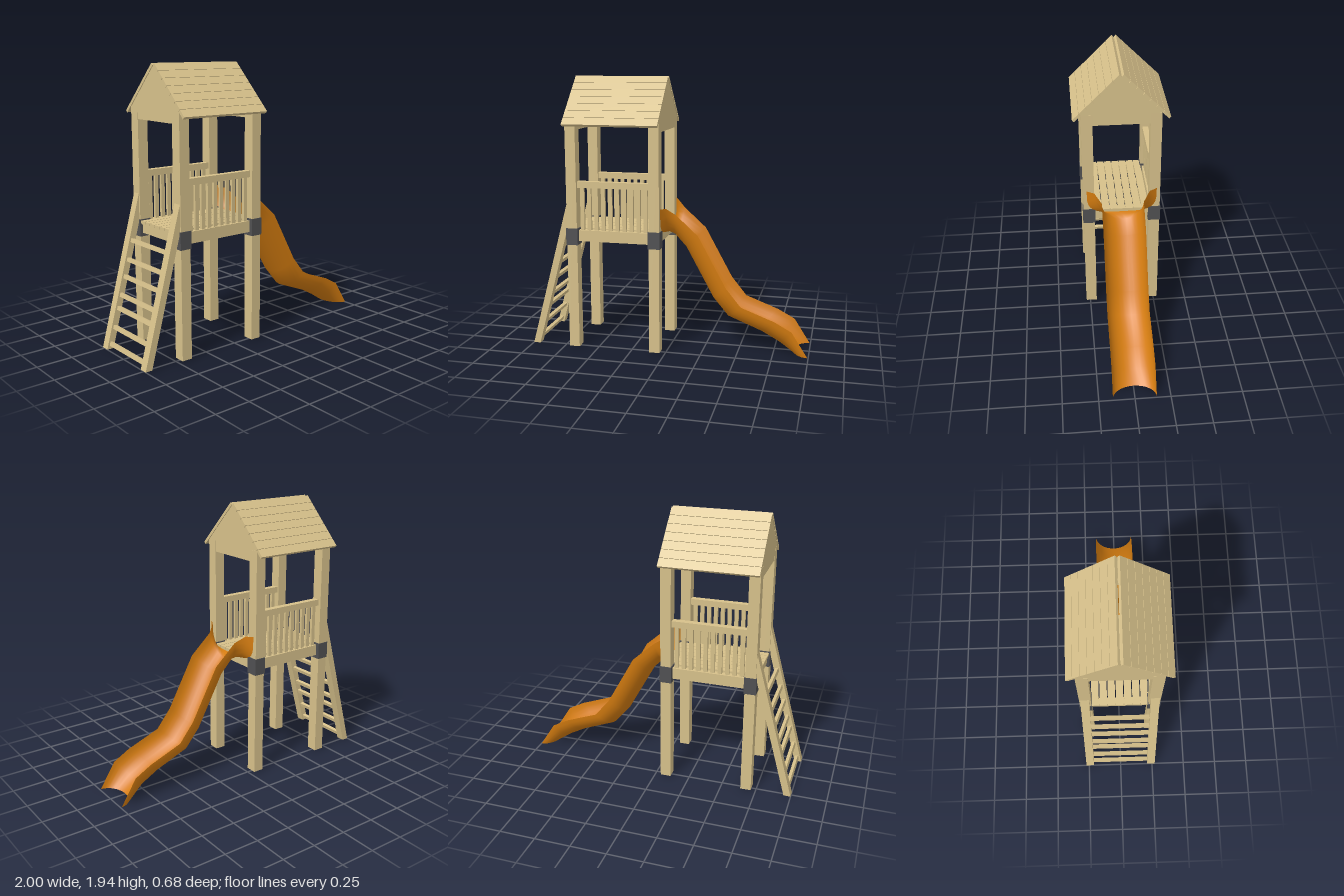
import * as THREE from 'three';

const wood = new THREE.MeshStandardMaterial({ color: 0xd6c08a });
const metal = new THREE.MeshStandardMaterial({ color: 0x505052 });
const plastic = new THREE.MeshStandardMaterial({ color: 0xd47c10, side: THREE.DoubleSide });

export function createModel() {
  const model = new THREE.Group();
  const SIDES = [-1, 1];
  const MID = -0.3775, HALF = 0.3; // tower centre in x, and post offset from it
  const POST_Z = 0.24;

  function add(name, geometry, material, x = 0, y = 0, z = 0) {
    const mesh = new THREE.Mesh(geometry, material);
    mesh.name = name;
    mesh.position.set(x, y, z);
    model.add(mesh);
    return mesh;
  }
  const box = (name, w, h, d, x, y, z, material = wood) =>
    add(name, new THREE.BoxGeometry(w, h, d), material, x, y, z);
  const polygon = (points) => new THREE.Shape(points.map(([x, y]) => new THREE.Vector2(x, y)));
  const extrude = (points, depth) =>
    new THREE.ExtrudeGeometry(polygon(points), { depth, bevelEnabled: false });

  // Posts with dark corner brackets
  for (const sx of SIDES) for (const sz of SIDES) {
    const x = MID + sx * HALF;
    box('post', 0.075, 1.65, 0.08, x, 0.825, sz * POST_Z);
    box('cornerBracket', 0.086, 0.12, 0.09, x, 0.82, sz * POST_Z, metal);
  }

  // Deck: end beams, side beams and planks running along x
  for (const s of SIDES) {
    box('endBeam', 0.045, 0.08, 0.4, MID + s * HALF, 0.825, 0);
    box('sideBeam', 0.525, 0.08, 0.045, MID, 0.825, s * 0.235);
  }
  for (let i = 0; i < 7; i++) {
    box('deckPlank', 0.67, 0.02, 0.052, MID, 0.862, (i - 3) * 0.058);
  }

  // Railings on the front and back
  for (const s of SIDES) {
    box('topRail', 0.525, 0.045, 0.045, MID, 1.193, s * 0.235);
    for (let i = 0; i < 10; i++) {
      box('baluster', 0.029, 0.31, 0.02, MID + (i - 4.5) * 0.0515, 1.018, s * 0.235);
    }
  }

  // Gables, each above a cross beam
  for (const s of SIDES) {
    box('gableBeam', 0.04, 0.08, 0.4, MID + s * (HALF + 0.016), 1.61, 0);
    const gable = add('gable', extrude([[-0.28, 1.65], [0.28, 1.65], [0, 1.93]], 0.025), wood);
    gable.rotation.y = Math.PI / 2;
    gable.position.x = MID + s * (HALF + 0.024) - 0.0125;
  }

  // Roof planks on two 45 degree slopes
  const PLANKS = 7, PITCH = 0.46 / PLANKS;
  for (const s of SIDES) for (let i = 0; i < PLANKS; i++) {
    const z = 0.008 + (i + 0.5) * PITCH * Math.SQRT1_2;
    const plank = box('roofPlank', 0.682, 0.02, PITCH - 0.003, MID, 1.946 - z, s * z);
    plank.rotation.x = s * Math.PI / 4;
  }

  // Ladder: stringers cut flush to the ground and the posts, with rungs between
  const stringer = extrude([[-1, 0], [-0.95, 0], [-0.715, 0.875], [-0.715, 1.06]], 0.06);
  for (const s of SIDES) add('ladderStringer', stringer, wood, 0, 0, s * 0.242 - 0.03);
  for (const y of [0.035, 0.15, 0.28, 0.37, 0.495, 0.61, 0.74]) {
    const rung = box('ladderRung', 0.024, 0.028, 0.43, -0.975 + y / 3.72, y, 0);
    rung.rotation.z = -0.26;
  }

  // Slide stations: rim x, rim y, bottom x, bottom y, half width, roundness power
  const stations = [
    [-0.037, 1.04, -0.037, 0.85, 0.255, 0.5],
    [-0.01, 1.035, -0.01, 0.845, 0.2, 0.75],
    [0.05, 0.985, 0.02, 0.82, 0.152, 1],
    [0.21, 0.84, 0.1, 0.73, 0.152, 1],
    [0.41, 0.475, 0.3, 0.365, 0.152, 1],
    [0.52, 0.34, 0.41, 0.235, 0.152, 1],
    [0.76, 0.25, 0.65, 0.14, 0.152, 1],
    [0.88, 0.185, 0.78, 0.07, 0.152, 1],
    [0.995, 0.005, 0.885, 0.004, 0.152, 1],
  ];
  const N = 16, positions = [], indices = [];
  stations.forEach(([rx, ry, bx, by, w, p], row) => {
    for (let j = 0; j <= N; j++) {
      const t = (j / N - 0.5) * Math.PI;
      const drop = Math.pow(Math.max(0, Math.cos(t)), p);
      const z = w * Math.sign(t) * Math.pow(Math.abs(Math.sin(t)), p);
      positions.push(rx + (bx - rx) * drop, ry + (by - ry) * drop, z);
      if (row && j) {
        const d = row * (N + 1) + j, c = d - 1, b = d - N - 1, a = b - 1;
        indices.push(a, b, c, b, d, c);
      }
    }
  });
  const slide = new THREE.BufferGeometry();
  slide.setAttribute('position', new THREE.Float32BufferAttribute(positions, 3));
  slide.setIndex(indices);
  slide.computeVertexNormals();
  add('slide', slide, plastic);

  return model;
}
